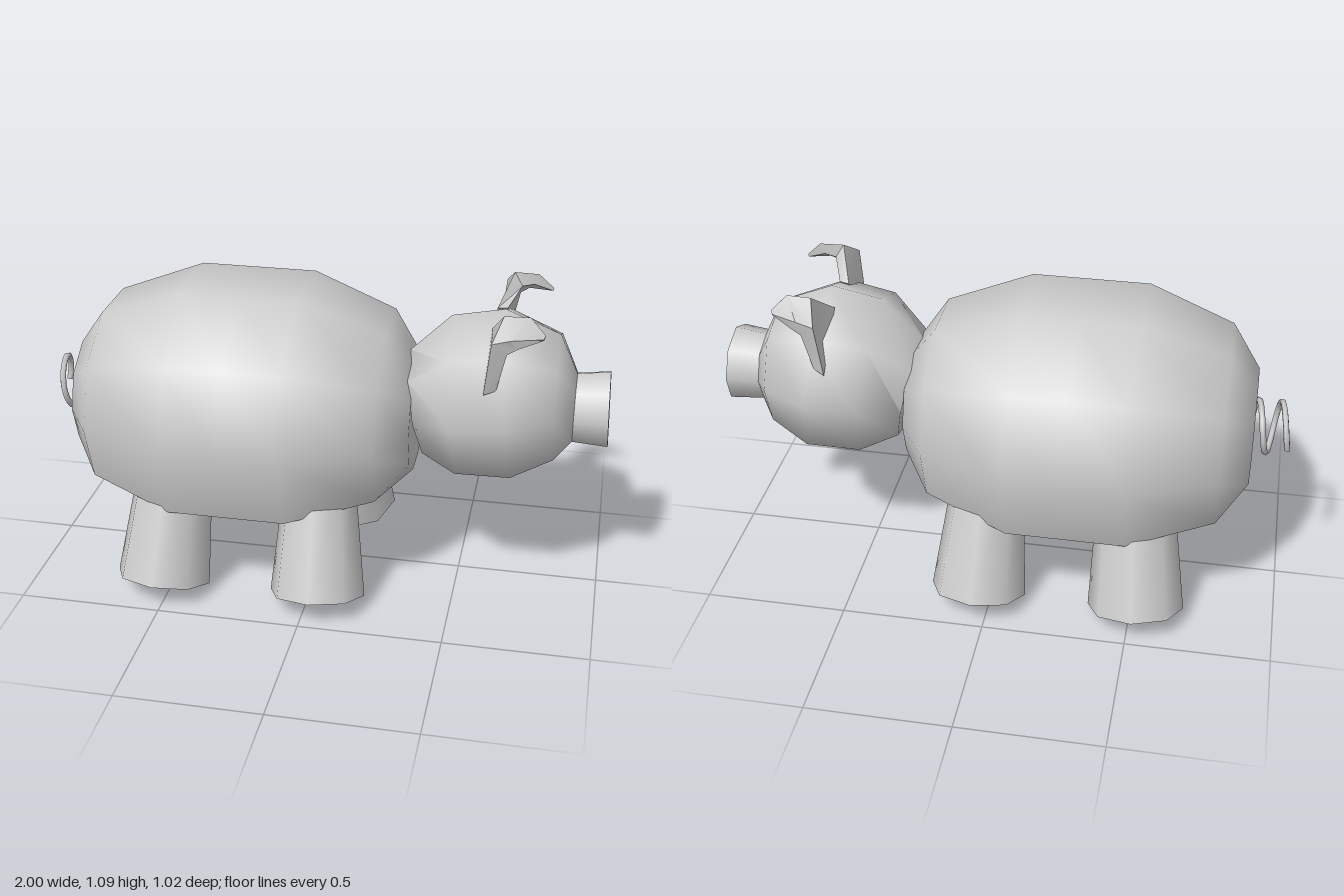
import * as THREE from 'three';
import { toCreasedNormals } from 'three/addons/utils/BufferGeometryUtils.js';

const material = new THREE.MeshStandardMaterial({ color: 0xcccccc });
const V = (x, y, z) => new THREE.Vector3(x, y, z);

function addMesh(group, name, geometry) {
  const mesh = new THREE.Mesh(geometry, material);
  mesh.name = name;
  group.add(mesh);
  return mesh;
}

// Closed skin over a row of equal-length rings, capped at both ends
function loft(rings, crease) {
  const n = rings[0].length, last = (rings.length - 1) * n, index = [];
  for (let i = 0; i < rings.length - 1; i++) {
    for (let j = 0; j < n; j++) {
      const a = i * n + j, b = i * n + (j + 1) % n;
      index.push(a, a + n, b, b, a + n, b + n);
    }
  }
  for (let j = 1; j < n - 1; j++) {
    index.push(0, j, j + 1, last, last + j + 1, last + j);
  }
  const geometry = new THREE.BufferGeometry().setFromPoints(rings.flat());
  geometry.setIndex(index);
  return toCreasedNormals(geometry, crease);
}

// Barrel of ten-sided rings whose belly falls to one low point in the middle
function bodyGeometry() {
  const midX = -0.27, halfLength = 0.6, axisY = 0.625;
  const profile = [[-0.6, 0.205], [-0.5, 0.352], [-0.205, 0.463], [0, 0.463],
    [0.205, 0.463], [0.5, 0.352], [0.6, 0.205]];
  const rings = profile.map(([dx, r]) => {
    const ring = [];
    const t = 1 - Math.abs(dx) / halfLength;
    for (let j = 0; j < 10; j++) {
      const a = j * Math.PI / 5;
      let y = axisY + r * Math.sin(a), z = r * 1.08 * Math.cos(a);
      if (j === 7 || j === 8) {
        y = THREE.MathUtils.lerp(0.43, 0.31, t);
        z = Math.sign(z) * 0.068 * (1 - t * 0.98);
      }
      ring.push(V(midX + dx, y, z));
    }
    return ring;
  });
  return loft(rings, 0.9);
}

// Eight-sided ball, each ring given by its top and bottom point
function headGeometry() {
  const spans = [[0.3, 0.86, 0.38, 0.48], [0.44, 1.0, 0.5, 0.42], [0.62, 1.036, 0.69, 0.425],
    [0.81, 0.96, 0.82, 0.5], [0.875, 0.82, 0.875, 0.57]];
  const rings = spans.map(([tx, ty, bx, by]) => {
    const r = Math.hypot(tx - bx, ty - by) / 2 * 1.03;
    return Array.from({ length: 8 }, (_, j) => {
      const a = j * Math.PI / 4, k = (1 + Math.sin(a)) / 2;
      return V(THREE.MathUtils.lerp(bx, tx, k), THREE.MathUtils.lerp(by, ty, k), r * Math.cos(a));
    });
  });
  return loft(rings, 1.0);
}

// Upright leaf that folds forward to a point
function earGeometry(side) {
  const sections = [
    [[0.58, 0.84, 0.28], [0.585, 1.0, 0.09], [0.62, 1.0, 0.1], [0.62, 0.85, 0.26]],
    [[0.6, 1.03, 0.298], [0.63, 1.093, 0.205], [0.66, 1.045, 0.2], [0.65, 0.99, 0.28]],
    [[0.66, 1.045, 0.293], [0.715, 1.093, 0.2], [0.7, 1.055, 0.2], [0.68, 1.01, 0.28]],
    [[0.762, 1.032, 0.23], [0.768, 1.04, 0.215], [0.765, 1.03, 0.215], [0.762, 1.026, 0.225]],
  ];
  const rings = sections.map((section) => {
    const ring = section.map(([x, y, z]) => V(x, y, z * side));
    return side > 0 ? ring : ring.reverse();
  });
  return loft(rings, 0.6);
}

// Corkscrew path around the body axis
function tailGeometry() {
  const points = [];
  for (let i = 0; i <= 32; i++) {
    const x = -0.99 + 0.125 * i / 32;
    const a = (x + 0.885) / 0.08 * Math.PI * 2;
    points.push(V(x, 0.63 + 0.09 * Math.cos(a), 0.09 * Math.sin(a)));
  }
  const path = new THREE.CatmullRomCurve3(points);
  return new THREE.TubeGeometry(path, 40, 0.011, 5);
}

// Tapered leg between a hip inside the body and the centre of the foot
function addLeg(group, name, hip, foot, topRadius) {
  const axis = hip.clone().sub(foot);
  const leg = addMesh(group, name, new THREE.CylinderGeometry(topRadius, 0.168, axis.length(), 8));
  leg.position.copy(hip).add(foot).multiplyScalar(0.5);
  leg.quaternion.setFromUnitVectors(V(0, 1, 0), axis.normalize());
}

export function createModel() {
  const pig = new THREE.Group();
  pig.name = 'pig';

  addMesh(pig, 'body', bodyGeometry());
  addMesh(pig, 'head', headGeometry());

  const snout = addMesh(pig, 'snout', new THREE.CylinderGeometry(0.138, 0.124, 0.14, 8));
  snout.position.set(0.922, 0.695, 0);
  snout.rotation.z = -Math.PI / 2 + 0.04;

  // The animal looks along +x, so its own left is -z
  for (const [label, side] of [['left', -1], ['right', 1]]) {
    addMesh(pig, label + 'Ear', earGeometry(side));
    addLeg(pig, label + 'FrontLeg', V(0.025, 0.485, 0.218 * side), V(0.04, 0.055, 0.348 * side), 0.122);
    addLeg(pig, label + 'BackLeg', V(-0.49, 0.485, 0.218 * side), V(-0.52, 0.055, 0.348 * side), 0.13);
  }

  const tail = addMesh(pig, 'tail', tailGeometry());
  tail.material = material.clone();
  tail.material.side = THREE.DoubleSide;
  return pig;
}
